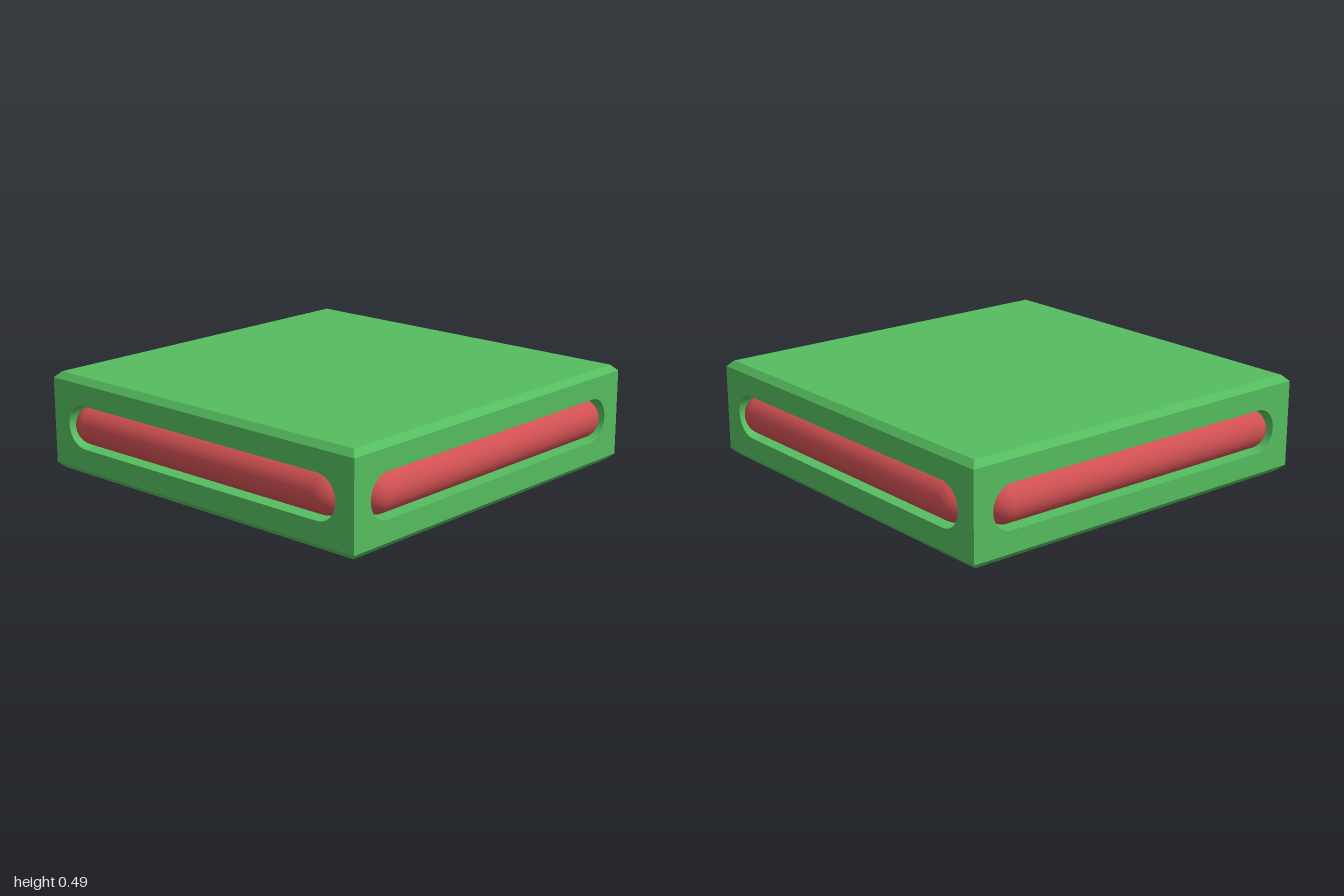
import * as THREE from 'three';

const HALF = 0.98;      // half width of the body
const HEIGHT = 0.49;
const CHAMFER = 0.03;
const WALL = 0.1;       // depth of the slotted side panels
const MID = HEIGHT / 2;
const ROLL_RADIUS = 0.1;
const ROLL_REACH = 0.765; // half length of the straight part of a roll

// Upright panel with a round-ended slot, outer face at z = HALF
function slottedPanel(halfLength) {
  const h = MID - CHAMFER, r = 0.109;
  const shape = new THREE.Shape();
  shape.moveTo(-halfLength, -h);
  shape.lineTo(halfLength, -h);
  shape.lineTo(halfLength, h);
  shape.lineTo(-halfLength, h);
  shape.closePath();
  const slot = new THREE.Path();
  slot.absarc(ROLL_REACH, 0, r, -Math.PI / 2, Math.PI / 2, false);
  slot.absarc(-ROLL_REACH, 0, r, Math.PI / 2, Math.PI * 1.5, false);
  slot.closePath();
  shape.holes.push(slot);
  const geometry = new THREE.ExtrudeGeometry(shape, { depth: WALL, bevelEnabled: false, curveSegments: 24 });
  return geometry.translate(0, MID, HALF - WALL);
}

// Square slab with sloping sides, flat shaded
function chamferSlab(topHalf, bottomHalf, y) {
  const geometry = new THREE.CylinderGeometry(topHalf * Math.SQRT2, bottomHalf * Math.SQRT2, CHAMFER, 4)
    .rotateY(Math.PI / 4)
    .translate(0, y, 0)
    .toNonIndexed();
  geometry.computeVertexNormals();
  return geometry;
}

export function createModel() {
  const green = new THREE.MeshStandardMaterial({ color: 0x55bd5f });
  green.name = 'green body';
  const red = new THREE.MeshStandardMaterial({ color: 0xd05052 });
  red.name = 'red rolls';

  const model = new THREE.Group();
  model.name = 'slottedBlock';
  const add = (name, geometry, material, turn = 0) => {
    const mesh = new THREE.Mesh(geometry, material);
    mesh.name = name;
    mesh.rotation.y = turn;
    model.add(mesh);
  };

  // Body: chamfered top and bottom around a core
  add('topSlab', chamferSlab(HALF - CHAMFER, HALF, HEIGHT - CHAMFER / 2), green);
  add('bottomSlab', chamferSlab(HALF, HALF - CHAMFER, CHAMFER / 2), green);
  const inner = HALF - WALL;
  add('core', new THREE.BoxGeometry(inner * 2, HEIGHT - CHAMFER * 2, inner * 2).translate(0, MID, 0), green);

  // Slotted panel and roll on each of the four sides
  const roll = new THREE.CapsuleGeometry(ROLL_RADIUS, ROLL_REACH * 2, 12, 32)
    .rotateZ(Math.PI / 2)
    .translate(0, MID, 1 - ROLL_RADIUS);
  const longPanel = slottedPanel(HALF);
  const shortPanel = slottedPanel(inner);
  ['front', 'left', 'back', 'right'].forEach((side, i) => {
    const turn = i * Math.PI / 2;
    add(side + 'Panel', i % 2 ? shortPanel : longPanel, green, turn);
    add(side + 'Roll', roll, red, turn);
  });

  return model;
}
